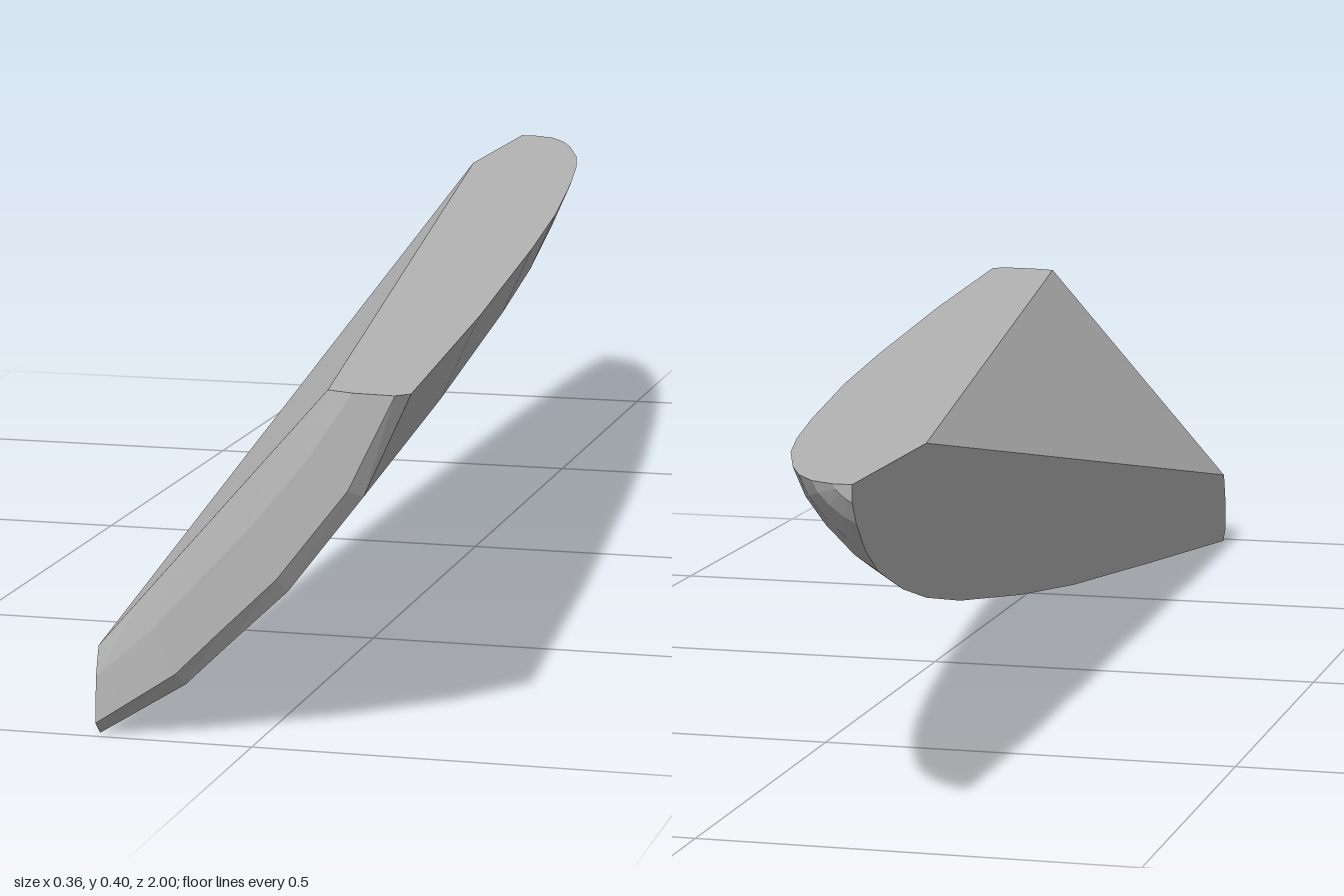
import * as THREE from 'three';

const LEFT = -0.18, TOP = 0.4, CUT_START = -0.7, FRONT = 0.985;

// Lengthwise stations: z, width along the top, depth down the flat side
const STATIONS = [
  [-1, 0.022, 0.02], [-0.985, 0.05, 0.045], [-0.95, 0.075, 0.08], [-0.9, 0.097, 0.112],
  [-0.8, 0.13, 0.15], [-0.7, 0.153, 0.178], [-0.55, 0.18, 0.209], [-0.26, 0.225, 0.255],
  [0.02, 0.26, 0.293], [0.51, 0.314, 0.348], [FRONT, 0.358, 0.4],
];
// Outer curve of a section, as fractions of width and depth
const CURVE = [[1, 0], [0.85, 0.29], [0.61, 0.565], [0.42, 0.725], [0.28, 0.845], [0, 1]];

const point = (u, v, z) => new THREE.Vector3(LEFT + u, TOP - v, z);
const outerCurve = ([z, w, d]) => CURVE.map(([u, v]) => point(u * w, v * d, z));

// Closed section: outer curve, then the two corners of the slanted cut
function section(station) {
  const z = station[0];
  const k = Math.max(0, (z - CUT_START) / (FRONT - CUT_START));
  return [...outerCurve(station), point(0, 0.3 * k, z), point(0.265 * k, 0, z)];
}

function meshFrom(triangles, name, material) {
  const geometry = new THREE.BufferGeometry().setFromPoints(triangles);
  geometry.computeVertexNormals();
  const mesh = new THREE.Mesh(geometry, material);
  mesh.name = name;
  return mesh;
}

export function createModel() {
  const group = new THREE.Group();
  group.name = 'taperedShellSegment';
  const grey = new THREE.MeshStandardMaterial({ color: 0xb4b4b4, flatShading: true });
  grey.name = 'plainGrey';

  // Body: curved skin, flat top, flat side and slanted cut
  const rings = STATIONS.map(section);
  const body = [];
  for (let i = 0; i < rings.length - 1; i++) {
    const n = rings[i].length;
    for (let j = 0; j < n; j++) {
      const a = rings[i][j], b = rings[i][(j + 1) % n];
      const d = rings[i + 1][j], c = rings[i + 1][(j + 1) % n];
      body.push(a, d, c, a, c, b);
    }
  }
  group.add(meshFrom(body, 'body', grey));

  // Small blunt facet closing the narrow end
  const tip = [];
  for (let j = 1; j < 6; j++) tip.push(rings[0][0], rings[0][j], rings[0][j + 1]);
  group.add(meshFrom(tip, 'tip', grey));

  // Slightly bulged cap across the wide end
  const outer = outerCurve(STATIONS[STATIONS.length - 1]);
  const rows = [[0, FRONT], [0.33, 0.996], [0.85, 1], [1, FRONT]].map(([t, z]) =>
    outer.map((p, j) => {
      const s = j / (outer.length - 1);
      const q = point(0.265 * (1 - s), 0.3 * s, FRONT).lerp(p, t);
      q.z = z;
      return q;
    }));
  const cap = [];
  for (let k = 0; k < rows.length - 1; k++) {
    for (let j = 0; j < outer.length - 1; j++) {
      const a = rows[k][j], b = rows[k][j + 1], c = rows[k + 1][j + 1], d = rows[k + 1][j];
      cap.push(a, b, c, a, c, d);
    }
  }
  group.add(meshFrom(cap, 'frontCap', grey));

  // Slivers joining the bulged cap to the flat top and flat side
  const sides = [];
  for (let k = 1; k < rows.length - 1; k++) {
    const e = outer.length - 1;
    sides.push(rows[0][0], rows[k][0], rows[k + 1][0]);
    sides.push(rows[0][e], rows[k + 1][e], rows[k][e]);
  }
  group.add(meshFrom(sides, 'capEdges', grey));

  return group;
}
